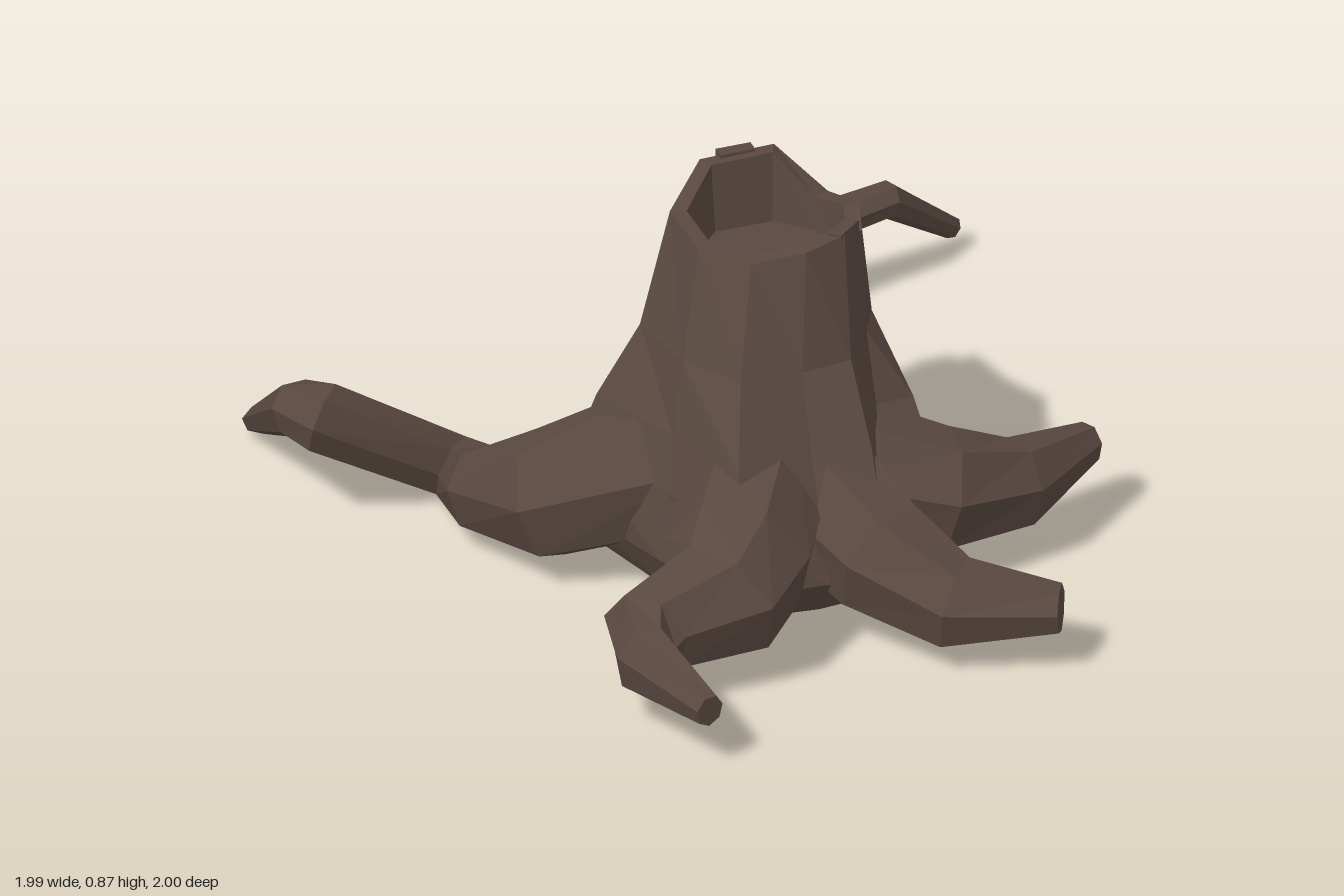
import * as THREE from 'three';

const V = (x, y, z) => new THREE.Vector3(x, y, z);

// Faceted skin over equal-sized rings, closed at both ends
function loft(rings) {
  const pos = [];
  const tri = (a, b, c) => [a, b, c].forEach(p => pos.push(p.x, p.y, p.z));
  const n = rings[0].length;
  const centre = ring => ring.reduce((s, p) => s.add(p), V(0, 0, 0)).divideScalar(n);
  const last = rings[rings.length - 1];
  const c0 = centre(rings[0]), c1 = centre(last);
  for (let j = 0; j < n; j++) {
    const k = (j + 1) % n;
    for (let i = 0; i < rings.length - 1; i++) {
      const a = rings[i], b = rings[i + 1];
      tri(a[j], b[j], b[k]);
      tri(a[j], b[k], a[k]);
    }
    tri(c0, rings[0][j], rings[0][k]);
    tri(c1, last[k], last[j]);
  }
  const g = new THREE.BufferGeometry();
  g.setAttribute('position', new THREE.Float32BufferAttribute(pos, 3));
  g.computeVertexNormals();
  return g;
}

// Bent root: each point is [x, y, z, half width, half height]
function rootGeometry(points, sides = 7) {
  const c = points.map(p => V(p[0], p[1], p[2]));
  const rings = c.map((p, i) => {
    const tin = p.clone().sub(c[Math.max(i - 1, 0)]).normalize();
    const tout = c[Math.min(i + 1, c.length - 1)].clone().sub(p).normalize();
    const t = tin.clone().add(tout).normalize();
    const miter = Math.min(1.35, 1 / Math.max(0.1, t.dot(i ? tin : tout)));
    const side = t.clone().cross(V(0, 1, 0)).normalize();
    const up = side.clone().cross(t);
    const [, , , w, h] = points[i];
    return Array.from({ length: sides }, (_, j) => {
      const a = (j + 0.25) / sides * Math.PI * 2;
      return p.clone()
        .addScaledVector(side, Math.cos(a) * w * miter)
        .addScaledVector(up, Math.sin(a) * h);
    });
  });
  return loft(rings);
}

// Trunk that flares from a round broken rim to a foot of ridges and valleys
function trunkGeometry() {
  const foot = [[-0.09, -0.08], [-0.1, 0.21], [-0.1, 0.54], [0.2, 0.575], [0.43, 0.57],
    [0.53, 0.4], [0.58, 0.28], [0.47, 0.16], [0.5, 0.03], [0.26, -0.03]];
  const angles = [230, 182, 135, 90, 55, 22, -8, -35, -62, -95];
  const rim = [0.875, 0.87, 0.83, 0.82, 0.815, 0.835, 0.84, 0.8, 0.815, 0.785];
  const ring = (y, r, cx, cz, ridge, valley) => angles.map((deg, i) => {
    const a = deg * Math.PI / 180;
    const x = cx + Math.cos(a) * r, z = cz + Math.sin(a) * r;
    const blend = i % 2 ? valley : ridge;
    return V(x + (foot[i][0] - x) * blend, y ?? rim[i], z + (foot[i][1] - z) * blend);
  }).reverse();
  return loft([
    ring(0.06, 0.2, 0.15, 0.22, 0.75, 0.75),
    ring(0.15, 0.24, 0.16, 0.23, 1, 1),
    ring(0.3, 0.24, 0.16, 0.23, 0.95, 0.7),
    ring(0.42, 0.25, 0.16, 0.23, 0.65, 0.25),
    ring(0.58, 0.235, 0.155, 0.225, 0.12, 0),
    ring(null, 0.208, 0.135, 0.18, 0, 0),
    ring(null, 0.172, 0.135, 0.18, 0, 0),   // broken lip
    ring(0.71, 0.16, 0.135, 0.18, 0, 0),    // hollow
  ]);
}

export function createModel() {
  const group = new THREE.Group();
  const bark = new THREE.MeshStandardMaterial({ color: 0x594840 });
  bark.name = 'darkBark';

  const add = (name, geometry) => {
    const mesh = new THREE.Mesh(geometry, bark);
    mesh.name = name;
    group.add(mesh);
  };

  add('trunk', trunkGeometry());

  const roots = {
    backRightRoot: [
      [0.1, 0.28, 0.12, 0.17, 0.17], [-0.1, 0.195, -0.13, 0.125, 0.135],
      [-0.25, 0.15, -0.32, 0.085, 0.09], [-0.47, 0.085, -0.335, 0.065, 0.08],
      [-0.475, 0.225, -0.57, 0.05, 0.045], [-0.43, 0.23, -0.77, 0.037, 0.042],
      [-0.45, 0.06, -0.99, 0.022, 0.025]],
    frontRightRoot: [
      [0.12, 0.3, 0.35, 0.17, 0.18], [-0.13, 0.185, 0.59, 0.135, 0.145],
      [-0.31, 0.13, 0.6, 0.085, 0.1], [-0.49, 0.075, 0.505, 0.055, 0.07],
      [-0.605, 0.265, 0.785, 0.065, 0.075], [-0.695, 0.245, 0.77, 0.062, 0.065],
      [-0.965, 0.04, 0.605, 0.045, 0.032]],
    frontLeftRoot: [
      [0.25, 0.3, 0.3, 0.16, 0.18], [0.42, 0.235, 0.56, 0.165, 0.165],
      [0.475, 0.205, 0.67, 0.14, 0.14], [0.435, 0.18, 0.86, 0.09, 0.105],
      [0.5, 0.17, 0.925, 0.065, 0.09], [0.73, 0.155, 0.965, 0.034, 0.038]],
    leftRoot: [
      [0.3, 0.29, 0.25, 0.15, 0.17], [0.59, 0.2, 0.29, 0.125, 0.145],
      [0.78, 0.145, 0.255, 0.1, 0.105], [0.96, 0.15, 0.12, 0.06, 0.055]],
    backLeftRoot: [
      [0.32, 0.28, 0.2, 0.15, 0.17], [0.51, 0.22, 0.02, 0.13, 0.14],
      [0.56, 0.185, -0.15, 0.092, 0.105], [0.547, 0.185, -0.388, 0.04, 0.048]],
  };
  for (const [name, points] of Object.entries(roots)) add(name, rootGeometry(points));

  // Splinters standing on the broken rim
  for (const [deg, y] of [[205, 0.85], [-15, 0.815]]) {
    const a = deg * Math.PI / 180;
    const r = 0.19;
    const splinter = new THREE.BoxGeometry(0.03, 0.06, 0.08);
    splinter.rotateY(-a).translate(0.135 + Math.cos(a) * r, y, 0.18 + Math.sin(a) * r);
    add('rimSplinter', splinter);
  }
  return group;
}
